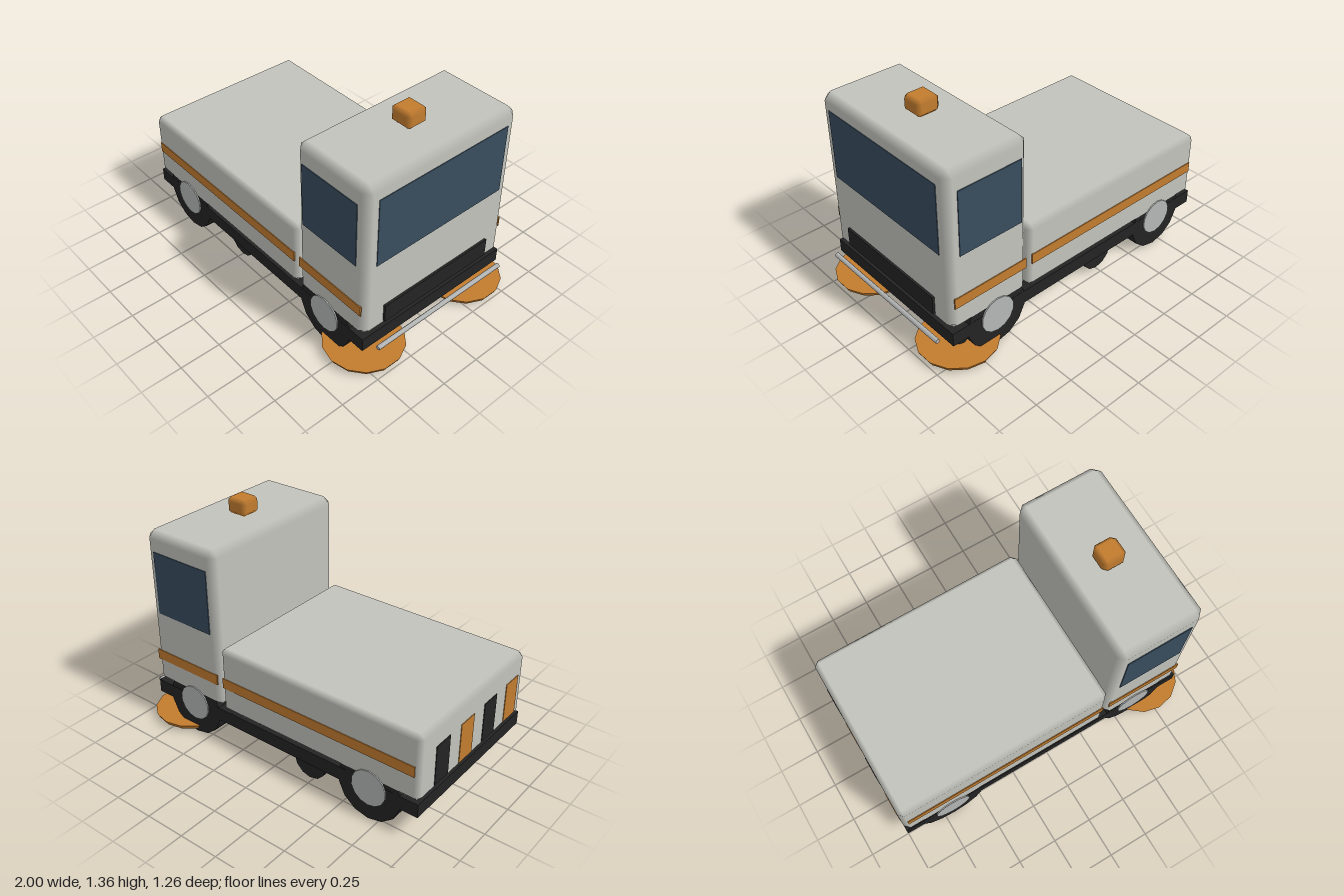
import * as THREE from 'three';
import { ConvexGeometry } from 'three/addons/geometries/ConvexGeometry.js';

const paint = (name, color) => Object.assign(new THREE.MeshStandardMaterial({ color }), { name });

// Box with chamfered edges whose shading blends across each chamfer
function chamferBox(w, h, d, r) {
  const half = [w / 2, h / 2, d / 2];
  const points = [];
  for (const sx of [-1, 1]) for (const sy of [-1, 1]) for (const sz of [-1, 1]) {
    for (let full = 0; full < 3; full++) {
      const s = [sx, sy, sz];
      points.push(new THREE.Vector3(...half.map((v, i) => s[i] * (i === full ? v : v - r))));
    }
  }
  const geometry = new ConvexGeometry(points);
  const pos = geometry.attributes.position;
  const normal = geometry.attributes.normal;
  for (let i = 0; i < pos.count; i++) {
    const p = [pos.getX(i), pos.getY(i), pos.getZ(i)];
    normal.setXYZ(i, ...p.map((v, k) => (Math.abs(Math.abs(v) - half[k]) < 1e-4 ? Math.sign(v) : 0)));
  }
  return geometry;
}

export function createModel() {
  const model = new THREE.Group();
  model.name = 'streetSweeper';

  const body = paint('bodyGrey', 0xc2c3bc);
  const orange = paint('safetyOrange', 0xc27c2f);
  const dark = paint('darkRubber', 0x232323);
  const glass = paint('tintedGlass', 0x384c5e);
  const metal = paint('hubMetal', 0xb4b7b6);

  const add = (name, geometry, material, x, y, z) => {
    const mesh = new THREE.Mesh(geometry, material);
    mesh.name = name;
    mesh.position.set(x, y, z);
    model.add(mesh);
    return mesh;
  };
  // Box given by its lower and upper corners
  const block = (name, material, [x0, y0, z0], [x1, y1, z1], chamfer = 0) => {
    const size = [x1 - x0, y1 - y0, z1 - z0];
    const geometry = chamfer ? chamferBox(...size, chamfer) : new THREE.BoxGeometry(...size);
    return add(name, geometry, material, (x0 + x1) / 2, (y0 + y1) / 2, (z0 + z1) / 2);
  };
  // Cylinder lying along z
  const axle = (name, material, r, length, sides, x, y, z) =>
    add(name, new THREE.CylinderGeometry(r, r, length, sides).rotateX(Math.PI / 2), material, x, y, z);

  // Main volumes
  block('chassis', dark, [-1, 0.17, -0.53], [0.905, 0.255, 0.53]);
  block('hopper', body, [-1, 0.255, -0.53], [0.37, 0.675, 0.53], 0.03);
  block('cab', body, [0.375, 0.255, -0.53], [0.908, 1.262, 0.53], 0.043);
  block('beacon', orange, [0.56, 1.26, -0.07], [0.705, 1.365, 0.07], 0.025);

  // Cab front
  block('windscreen', glass, [0.905, 0.745, -0.455], [0.912, 1.17, 0.455]);
  block('grille', dark, [0.905, 0.31, -0.39], [0.922, 0.425, 0.39]);
  axle('bumperBar', metal, 0.014, 0.95, 6, 0.965, 0.205, 0);

  // Sweeping roller under the chassis
  axle('roller', dark, 0.11, 0.94, 12, -0.24, 0.13, 0);

  for (const s of [-1, 1]) {
    // Side window and stripes
    const plate = (name, material, x0, x1, y0, y1) =>
      add(name, new THREE.BoxGeometry(x1 - x0, y1 - y0, 0.008), material, (x0 + x1) / 2, (y0 + y1) / 2, s * 0.531);
    plate('sideWindow', glass, 0.43, 0.84, 0.745, 1.14);
    plate('hopperStripe', orange, -0.97, 0.35, 0.42, 0.485);
    plate('cabStripe', orange, 0.395, 0.885, 0.42, 0.485);

    // Wheels
    for (const x of [-0.69, 0.6]) {
      axle('tyre', dark, 0.203, 0.13, 14, x, 0.205, s * 0.464);
      axle('hub', metal, 0.112, 0.14, 14, x, 0.212, s * 0.467);
    }

    // Front side brushes on their arms
    add('sideBrush', new THREE.CylinderGeometry(0.236, 0.222, 0.027, 14), orange, 0.77, 0.034, s * 0.392);
    add('brushArm', new THREE.CylinderGeometry(0.04, 0.053, 0.14, 10), dark, 0.77, 0.115, s * 0.395);
  }

  // Warning bars on the rear
  for (let i = 0; i < 4; i++) {
    const z = -0.32 + 0.24 * i;
    block('rearBar', i % 2 ? orange : dark, [-1.004, 0.29, z - 0.065], [-0.996, 0.54, z + 0.065]);
  }

  return model;
}
